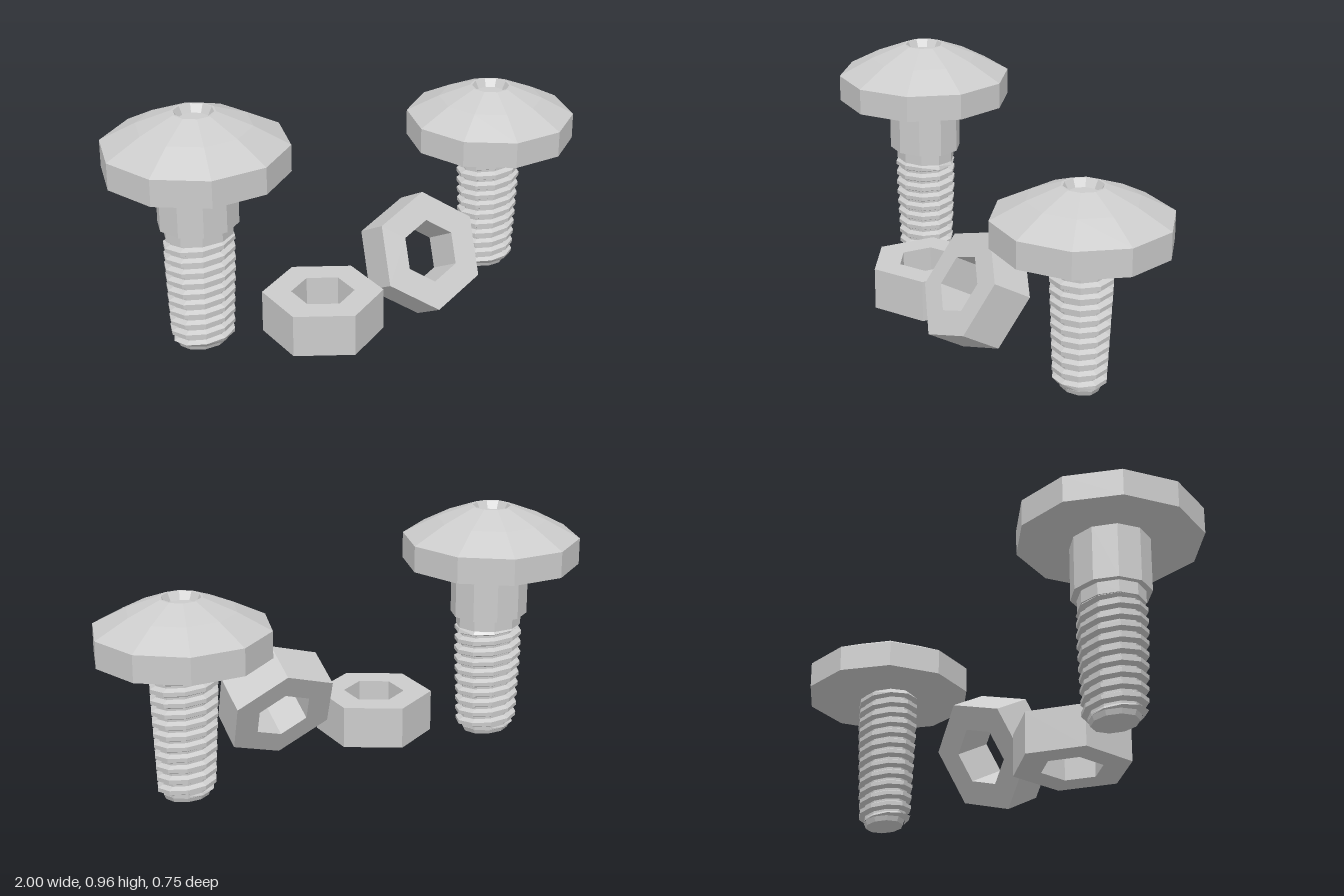
import * as THREE from 'three';

const SIDES = 10;
const material = new THREE.MeshStandardMaterial({ color: 0xcccccc, flatShading: true });

function lathe(name, points, sides, start = 0) {
  const profile = points.map(([r, y]) => new THREE.Vector2(r, y));
  const mesh = new THREE.Mesh(new THREE.LatheGeometry(profile, sides, start), material);
  mesh.name = name;
  return mesh;
}

// Right-handed helical thread, tapering towards the bottom
function threadGeometry(bottom, top, rBottom, rTop) {
  const pitch = 0.0435, depth = 0.023;
  const profile = [[0, 0], [0.2, 0], [0.42, 1], [0.78, 1]]; // fraction of pitch, crest height
  const turns = Math.ceil((top - bottom) / pitch) + 1;
  const rows = (turns + 1) * profile.length;
  const positions = [], indices = [];
  for (let k = 0; k <= rows; k++) {
    const [f, crest] = profile[k % profile.length];
    const turn = Math.floor(k / profile.length) - 1;
    for (let i = 0; i <= SIDES; i++) {
      const y = THREE.MathUtils.clamp(bottom + pitch * (turn + f + i / SIDES), bottom, top);
      const t = (y - bottom) / (top - bottom);
      const outer = rBottom + (rTop - rBottom) * Math.min(1, t * 1.4);
      const fade = Math.min(1, (y - bottom) / 0.015, (top - y) / 0.015);
      const r = outer - depth + depth * crest * fade;
      const a = Math.PI / 2 + (i / SIDES) * Math.PI * 2;
      positions.push(Math.sin(a) * r, y, Math.cos(a) * r);
      if (k < rows && i < SIDES) {
        const p = k * (SIDES + 1) + i, q = p + SIDES + 1;
        indices.push(p, p + 1, q, p + 1, q + 1, q);
      }
    }
  }
  const geometry = new THREE.BufferGeometry();
  geometry.setAttribute('position', new THREE.Float32BufferAttribute(positions, 3));
  geometry.setIndex(indices);
  geometry.computeVertexNormals();
  return geometry;
}

function makeBolt(name, o) {
  const bolt = new THREE.Group();
  bolt.name = name;

  // Domed head with a small recess in its top
  bolt.add(lathe('head', [
    [0, o.headBottom], [o.headR, o.headBottom], [o.headR, o.rimTop],
    [o.headR * 0.615, o.domeMid], [0.082, o.top], [0.074, o.top],
    [0.058, o.top - 0.03], [0, o.top - 0.03],
  ], SIDES, Math.PI / 2));

  // Threaded shaft, slightly flattened front to back
  const thread = new THREE.Mesh(threadGeometry(o.bottom + 0.018, o.threadTop, o.rBottom, o.rTop), material);
  thread.name = 'thread';
  thread.scale.z = 0.85;
  bolt.add(thread);

  // Chamfered tip
  const tip = lathe('tip', [
    [0, o.bottom], [o.rBottom - 0.03, o.bottom], [o.rBottom - 0.021, o.bottom + 0.02], [0, o.bottom + 0.02],
  ], SIDES, Math.PI / 2);
  tip.scale.z = 0.8;
  bolt.add(tip);
  return bolt;
}

// Hexagonal nut with a hexagonal hole, centred on its own origin
function makeNut(name) {
  const R = 0.23, r = 0.12, h = 0.083;
  return lathe(name, [[r, -h], [R, -h], [R, h], [r, h], [r, -h]], 6);
}

export function createModel() {
  const model = new THREE.Group();

  // Long bolt with a thick neck
  const longBolt = makeBolt('longBolt', {
    headR: 0.347, headBottom: 0.737, rimTop: 0.84, domeMid: 0.91, top: 0.962,
    bottom: 0.03, threadTop: 0.485, rBottom: 0.126, rTop: 0.14,
  });
  const neck = lathe('neck', [[0, 0.525], [0.155, 0.525], [0.155, 0.74], [0, 0.74]], SIDES, Math.PI / 2);
  neck.scale.z = 0.92;
  const collar = lathe('collar', [[0, 0.477], [0.134, 0.477], [0.134, 0.527], [0, 0.527]], SIDES, Math.PI / 2);
  collar.scale.z = 0.86;
  longBolt.add(neck, collar);
  longBolt.position.set(-0.653, 0, -0.045);

  // Short bolt
  const shortBolt = makeBolt('shortBolt', {
    headR: 0.333, headBottom: 0.567, rimTop: 0.67, domeMid: 0.736, top: 0.785,
    bottom: 0.01, threadTop: 0.57, rBottom: 0.115, rTop: 0.134,
  });
  shortBolt.position.set(0.667, 0, -0.045);

  // One nut lying flat, one leaning back
  const flatNut = makeNut('flatNut');
  flatNut.position.set(-0.235, 0.118, 0.14);
  const leaningNut = makeNut('leaningNut');
  leaningNut.position.set(0.207, 0.241, 0.143);
  leaningNut.rotation.set(THREE.MathUtils.degToRad(60.5), THREE.MathUtils.degToRad(-8.3), 0);

  model.add(longBolt, shortBolt, flatNut, leaningNut);
  return model;
}
